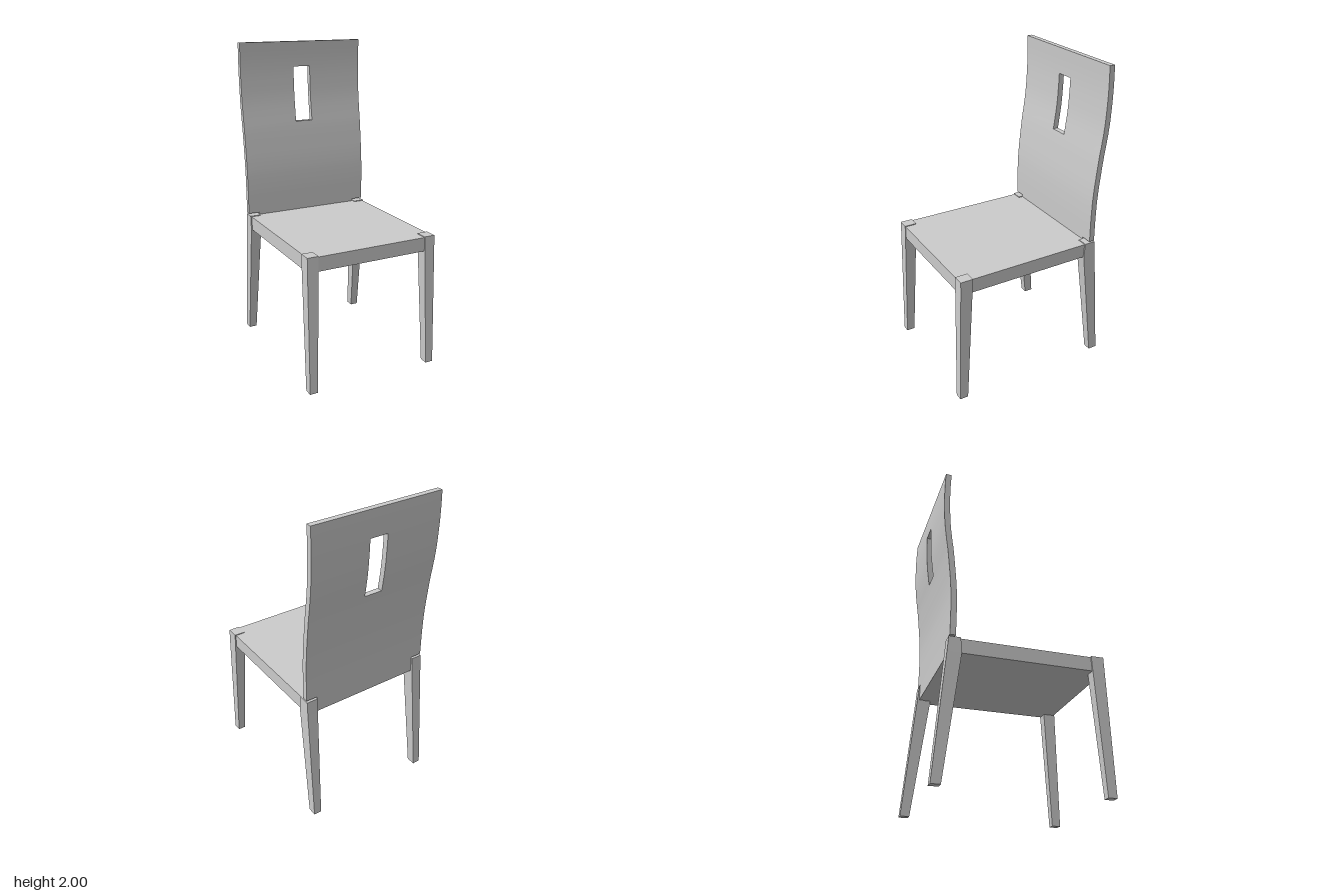
import * as THREE from 'three';
import { toCreasedNormals } from 'three/addons/utils/BufferGeometryUtils.js';

const material = new THREE.MeshStandardMaterial({ color: 0xcccccc });

function addMesh(group, name, geometry) {
  const mesh = new THREE.Mesh(geometry, material);
  mesh.name = name;
  group.add(mesh);
  return mesh;
}

// Leg sections from floor to top: [y, inner x, outer x, inner z, outer z]
const frontSections = [[0, 0.39, 0.441, 0.478, 0.533], [0.765, 0.367, 0.438, 0.43, 0.508], [0.86, 0.365, 0.437, 0.425, 0.505]];
const backSections = [[0, 0.39, 0.441, 0.475, 0.533], [0.765, 0.367, 0.438, 0.381, 0.468], [0.86, 0.365, 0.437, 0.389, 0.461]];

// Tapered leg: a unit box whose rings are moved onto the sections
function legGeometry(sections, sx, sz) {
  const geometry = new THREE.BoxGeometry(1, 1, 1, 1, 2, 1).toNonIndexed();
  const p = geometry.attributes.position;
  for (let i = 0; i < p.count; i++) {
    const [y, xi, xo, zi, zo] = sections[Math.round((p.getY(i) + 0.5) * 2)];
    p.setXYZ(i,
      sx * (xi + xo) / 2 + p.getX(i) * (xo - xi), y,
      sz * (zi + zo) / 2 + p.getZ(i) * (zo - zi));
  }
  geometry.computeVertexNormals();
  return geometry;
}

// Curved back panel: a grid of cells, some left out for the handle slot and leg notches
function backGeometry() {
  const curve = new THREE.SplineCurve([
    [0.765, -0.438], [0.9, -0.437], [1.05, -0.437], [1.2, -0.443], [1.4, -0.463],
    [1.6, -0.49], [1.75, -0.5], [1.88, -0.502], [2, -0.498],
  ].map(([y, z]) => new THREE.Vector2(y, z)));
  const samples = curve.getPoints(200);
  const depthAt = (y) => samples.reduce((a, b) => (Math.abs(b.x - y) < Math.abs(a.x - y) ? b : a)).y;

  const xs = [-0.437, -0.363, -0.06, 0.06, 0.363, 0.437];
  const ys = [0.765, 0.87];
  const fill = (to, steps) => {
    const from = ys[ys.length - 1];
    for (let i = 1; i <= steps; i++) ys.push(from + (to - from) * i / steps);
  };
  fill(1.468, 14);
  const slotStart = ys.length - 1;
  fill(1.834, 10);
  const slotEnd = ys.length - 1;
  fill(2, 4);
  const zs = ys.map(depthAt);

  const solid = (i, j) => {
    if (i < 0 || j < 0 || i >= xs.length - 1 || j >= ys.length - 1) return false;
    if (j === 0 && (i === 0 || i === xs.length - 2)) return false;
    return !(i === 2 && j >= slotStart && j < slotEnd);
  };
  const positions = [];
  const corner = (i, j, side) => {
    // thickness is measured across the slope of the panel
    const a = Math.max(j - 1, 0), b = Math.min(j + 1, ys.length - 1);
    const slope = (zs[b] - zs[a]) / (ys[b] - ys[a]);
    return [xs[i], ys[j], zs[j] + side * 0.018 * Math.hypot(1, slope)];
  };
  const quad = (a, b, c, d) => positions.push(...a, ...b, ...c, ...a, ...c, ...d);
  // wall between two grid points, joining front and back
  const wall = (i0, j0, i1, j1) =>
    quad(corner(i0, j0, 1), corner(i0, j0, -1), corner(i1, j1, -1), corner(i1, j1, 1));

  for (let i = 0; i < xs.length - 1; i++) {
    for (let j = 0; j < ys.length - 1; j++) {
      if (!solid(i, j)) continue;
      quad(corner(i, j, 1), corner(i + 1, j, 1), corner(i + 1, j + 1, 1), corner(i, j + 1, 1));
      quad(corner(i + 1, j, -1), corner(i, j, -1), corner(i, j + 1, -1), corner(i + 1, j + 1, -1));
      if (!solid(i, j - 1)) wall(i, j, i + 1, j);
      if (!solid(i + 1, j)) wall(i + 1, j, i + 1, j + 1);
      if (!solid(i, j + 1)) wall(i + 1, j + 1, i, j + 1);
      if (!solid(i - 1, j)) wall(i, j + 1, i, j);
    }
  }
  const geometry = new THREE.BufferGeometry();
  geometry.setAttribute('position', new THREE.Float32BufferAttribute(positions, 3));
  return toCreasedNormals(geometry, Math.PI / 6);
}

export function createModel() {
  const chair = new THREE.Group();
  chair.name = 'chair';

  // Flat seat slab running back to the panel
  const seat = addMesh(chair, 'seat', new THREE.BoxGeometry(0.86, 0.09, 0.922));
  seat.position.set(0, 0.81, 0.041);

  addMesh(chair, 'backPanel', backGeometry());

  // Four splayed legs, mirrored left and right
  for (const [sx, label] of [[1, 'Left'], [-1, 'Right']]) {
    addMesh(chair, 'front' + label + 'Leg', legGeometry(frontSections, sx, 1));
    addMesh(chair, 'back' + label + 'Leg', legGeometry(backSections, sx, -1));
  }
  return chair;
}
